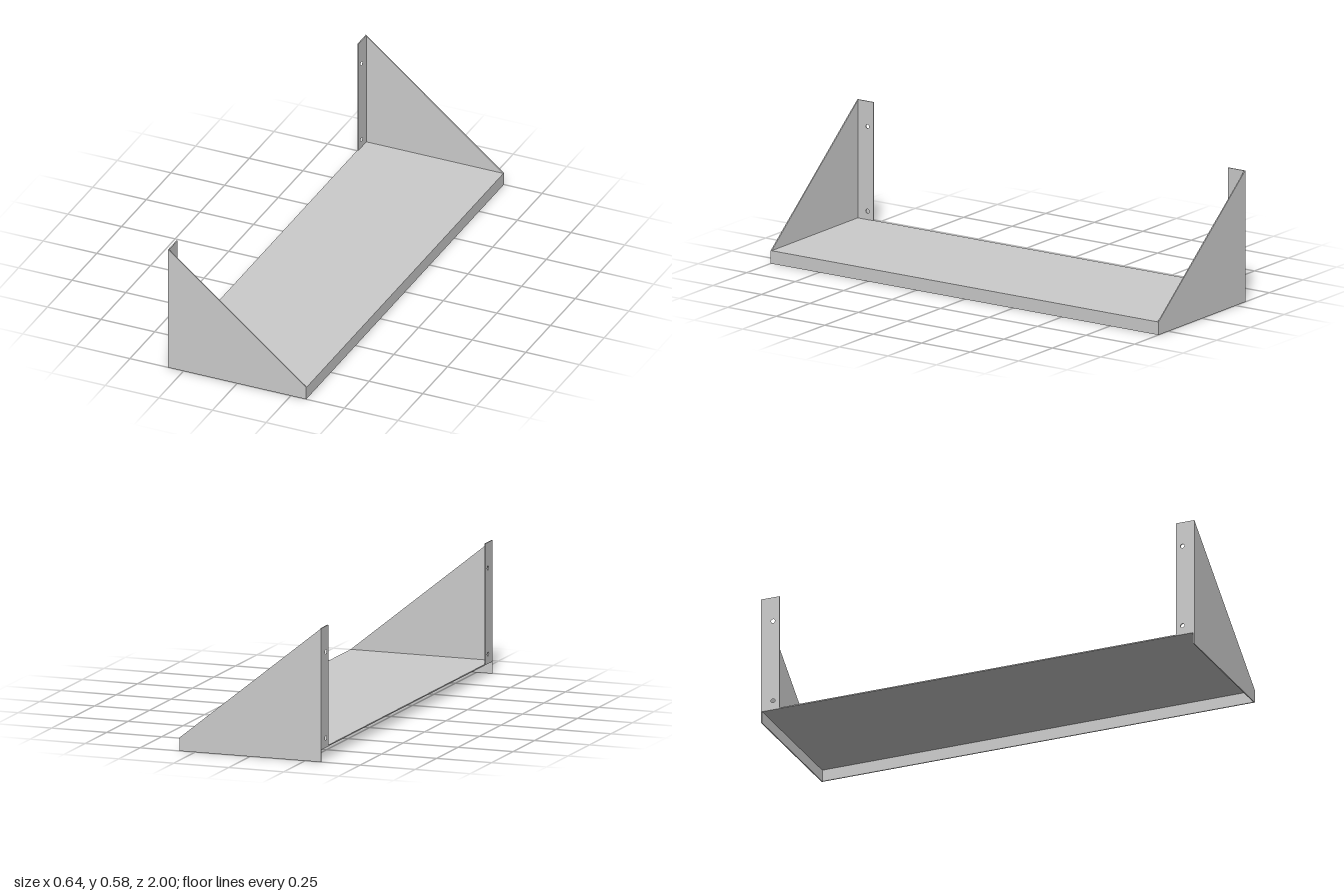
import * as THREE from 'three';

const T = 0.005;      // sheet thickness
const X = 0.322;      // half depth
const LIP = 0.057;    // deck height
const TOP = 0.577;    // bracket height
const FLANGE = 0.085; // flange width

export function createModel() {
  const group = new THREE.Group();
  const material = new THREE.MeshStandardMaterial({ color: 0xcccccc, flatShading: true });

  const add = (name, geometry, x = 0, y = 0, z = 0) => {
    const mesh = new THREE.Mesh(geometry, material);
    mesh.name = name;
    mesh.position.set(x, y, z);
    group.add(mesh);
    return mesh;
  };
  const extrude = (shape) =>
    new THREE.ExtrudeGeometry(shape, { depth: T, bevelEnabled: false, curveSegments: 16 });

  // Folded shelf: a deck with a lip along the front, open underneath and behind
  const inner = 2 - 2 * T;
  add('deck', new THREE.BoxGeometry(2 * X - T, T, inner), -T / 2, LIP - T / 2, 0);
  add('frontLip', new THREE.BoxGeometry(T, LIP, inner), X - T / 2, LIP / 2, 0);

  // Sloping end panel outline
  const panel = new THREE.Shape([
    new THREE.Vector2(-X, 0),
    new THREE.Vector2(X, 0),
    new THREE.Vector2(X, LIP),
    new THREE.Vector2(-X, TOP),
  ]);

  for (const side of [1, -1]) {
    const label = side > 0 ? 'front' : 'back';
    add(label + 'EndPanel', extrude(panel), 0, 0, side > 0 ? 1 - T : -1);

    // Wall flange turned inward, with two screw holes
    const a = side * (1 - T), b = side * (1 - FLANGE);
    const flange = new THREE.Shape([
      new THREE.Vector2(-a, LIP),
      new THREE.Vector2(-b, LIP),
      new THREE.Vector2(-b, TOP),
      new THREE.Vector2(-a, TOP),
    ]);
    for (const y of [0.094, 0.466]) {
      flange.holes.push(new THREE.Path().absarc(-side * 0.945, y, 0.009, 0, Math.PI * 2, true));
    }
    // The shape's horizontal axis becomes -z, its depth becomes +x
    add(label + 'WallFlange', extrude(flange), -X, 0, 0).rotation.y = Math.PI / 2;
  }
  return group;
}
